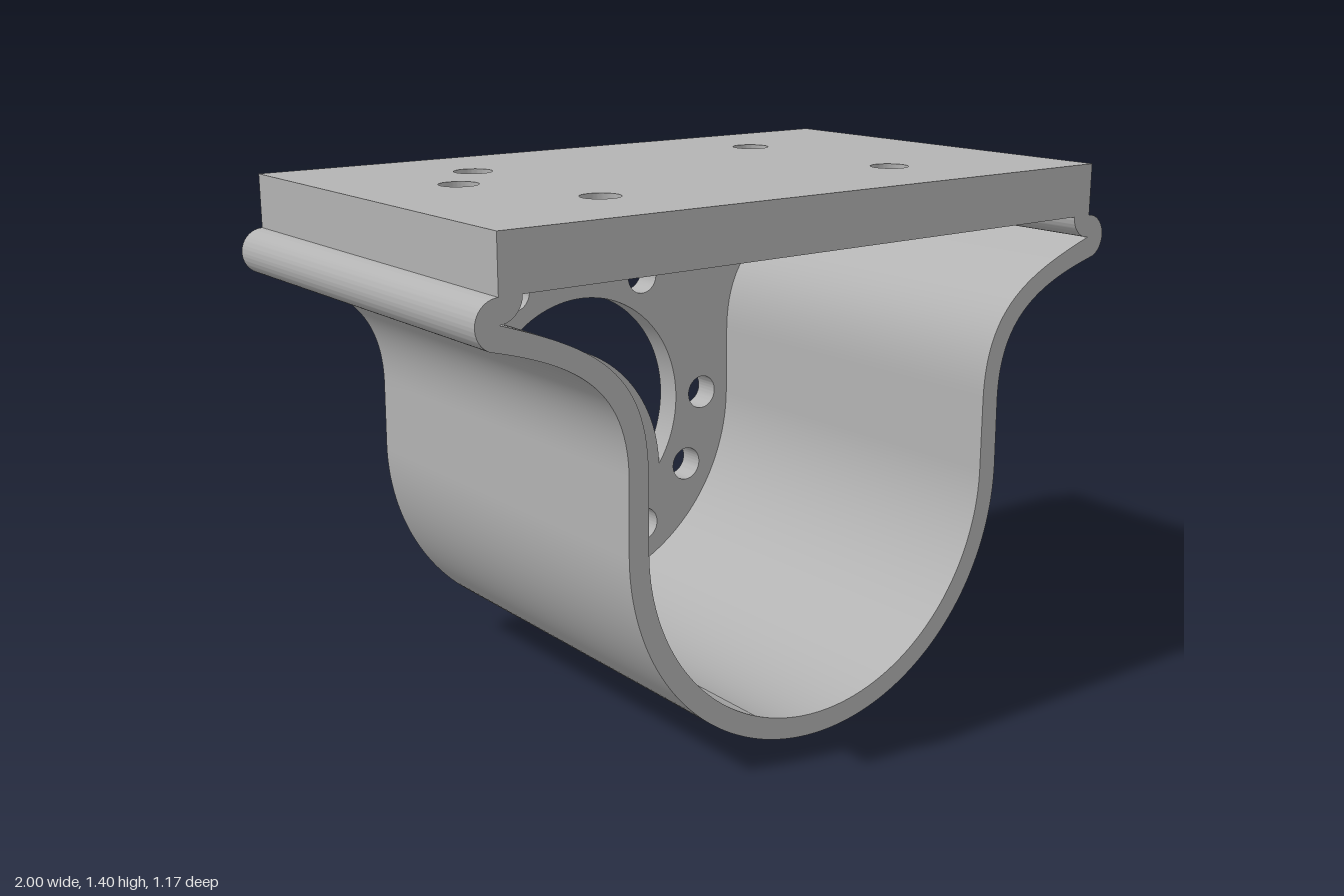
import * as THREE from 'three';
import { toCreasedNormals } from 'three/addons/utils/BufferGeometryUtils.js';

const BACK = -0.585, FRONT = 0.585;
const WALL = 0.08;          // back wall thickness
const SEAT = 1.26, TOP = 1.4; // underside and top of the mounting plate
const HOLE = 0.051;         // screw hole radius

// Samples a half profile (bottom centre to top right) and mirrors it into a full one
function fullProfile(path) {
  const half = path.getPoints(28).filter((p, i, all) => i === 0 || p.distanceTo(all[i - 1]) > 1e-4);
  const left = half.slice(1).reverse().map((p) => new THREE.Vector2(-p.x, p.y));
  return [...left, ...half];
}

function outerProfile() {
  const p = new THREE.Path();
  p.absarc(0, 0.61, 0.61, -Math.PI / 2, 0, false);
  p.lineTo(0.608, 0.8);
  const a = -1.14; // where the flare meets the rounded bead
  p.bezierCurveTo(0.61, 1.02, 0.75, 1.09, 0.94 + 0.06 * Math.cos(a), 1.2 + 0.06 * Math.sin(a));
  p.absarc(0.94, 1.2, 0.06, a, Math.PI / 2, false);
  return fullProfile(p);
}

function innerProfile() {
  const p = new THREE.Path();
  p.absarc(0, 0.61, 0.553, -Math.PI / 2, 0, false);
  p.lineTo(0.553, 0.8);
  p.bezierCurveTo(0.553, 1.05, 0.7, 1.12, 0.94, 1.2);
  p.absarc(0.94, SEAT, 0.06, -Math.PI / 2, -Math.PI, true);
  return fullProfile(p);
}

function roundHole(x, y, r) {
  return new THREE.Path().absarc(x, y, r, 0, Math.PI * 2, true);
}

// Crescent slot between two arcs that meet at two sharp tips
function crescentHole() {
  const tipA = [-0.282, 0.82], tipB = [0.285, 0.41];
  const angle = ([x, y], cx, cy) => Math.atan2(y - cy, x - cx);
  const p = new THREE.Path();
  p.absarc(0, 0.618, 0.352, angle(tipA, 0, 0.618), angle(tipB, 0, 0.618), true);
  p.absarc(-0.152, 0.4, 0.438, angle(tipB, -0.152, 0.4), angle(tipA, -0.152, 0.4), false);
  return p;
}

function extrude(shape, depth) {
  const g = new THREE.ExtrudeGeometry(shape, { depth, bevelEnabled: false, curveSegments: 32 });
  return toCreasedNormals(g, 0.5);
}

export function createModel() {
  const group = new THREE.Group();
  const grey = new THREE.MeshStandardMaterial({ color: 0xb3b3b3 });
  grey.name = 'grey';
  const add = (name, geometry) => {
    const mesh = new THREE.Mesh(geometry, grey);
    mesh.name = name;
    group.add(mesh);
  };

  // Curved cradle with flared sides and beaded rims
  const inner = innerProfile();
  const cradle = new THREE.Shape([...outerProfile(), ...inner.slice().reverse()]);
  add('cradle', extrude(cradle, FRONT - BACK).translate(0, 0, BACK));

  // Back wall closing the cradle, with screw holes, shaft hole and crescent slot
  const wall = new THREE.Shape(inner);
  wall.holes.push(roundHole(0, 0.415, 0.178), crescentHole(), roundHole(0, 1.07, HOLE));
  for (const side of [-1, 1]) {
    for (const [x, y] of [[0.226, 1.01], [0.453, 0.617], [0.392, 0.393], [0.226, 0.226]]) {
      wall.holes.push(roundHole(side * x, y, HOLE));
    }
  }
  add('backWall', extrude(wall, WALL).translate(0, 0, BACK));

  // Flat mounting plate with vertical screw holes, drawn in x and -z
  const w = 0.94;
  const plate = new THREE.Shape([
    new THREE.Vector2(-w, BACK), new THREE.Vector2(w, BACK),
    new THREE.Vector2(w, FRONT), new THREE.Vector2(-w, FRONT),
  ]);
  for (const [x, z] of [[-0.473, -0.293], [0.467, -0.293], [-0.473, 0.29], [0.467, 0.29], [-0.632, -0.095]]) {
    plate.holes.push(roundHole(x, -z, HOLE));
  }
  add('mountingPlate', extrude(plate, TOP - SEAT).rotateX(-Math.PI / 2).translate(0, SEAT, 0));

  return group;
}
